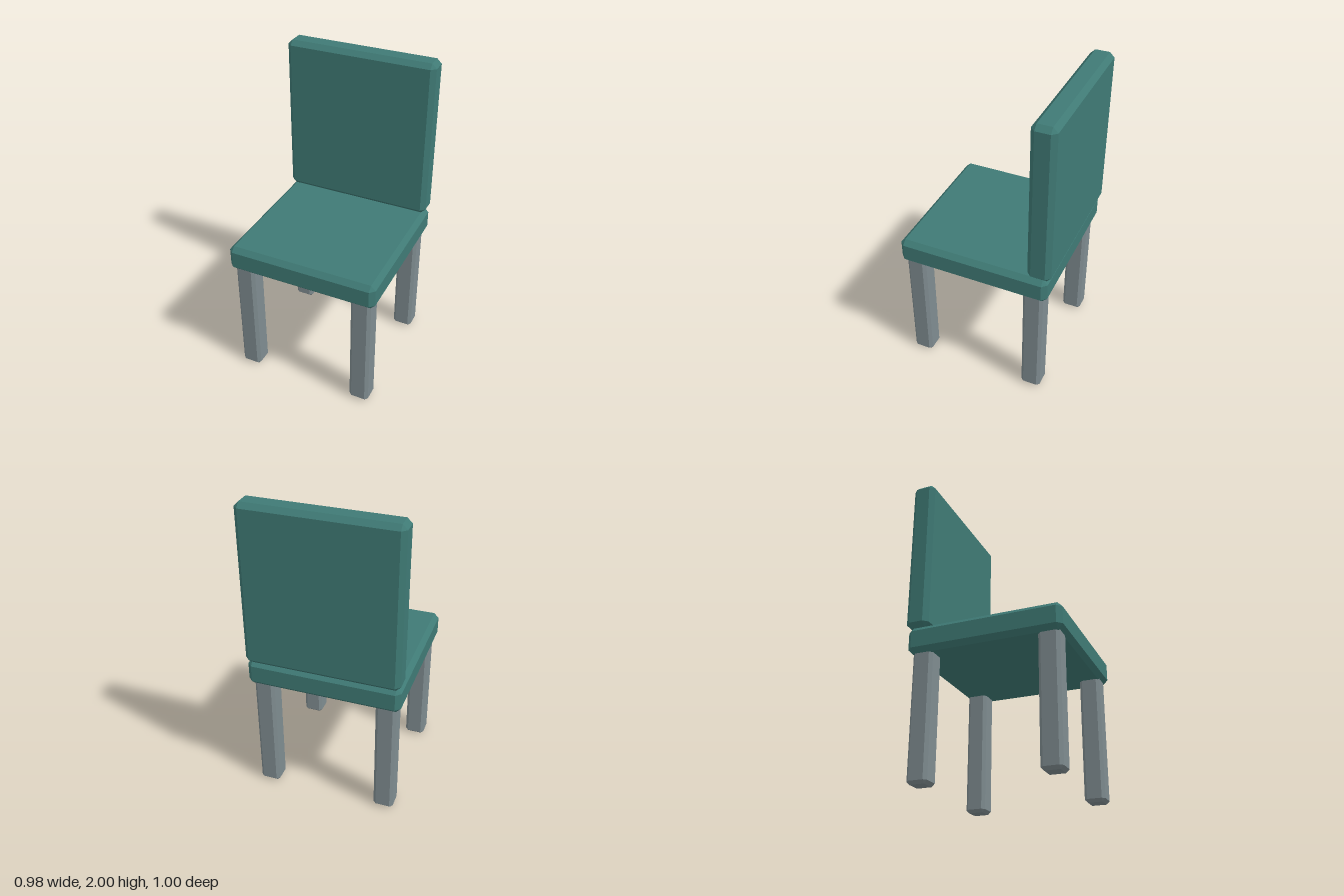
import * as THREE from 'three';
import { ConvexGeometry } from 'three/addons/geometries/ConvexGeometry.js';

// Box with flat chamfered edges and triangular corners, given by its min and max corners
function chamferBox(min, max, c) {
  const half = max.map((v, i) => (v - min[i]) / 2);
  const points = [];
  for (const sx of [-1, 1]) for (const sy of [-1, 1]) for (const sz of [-1, 1]) {
    for (let axis = 0; axis < 3; axis++) {
      // one point per face meeting at this corner
      const p = [sx, sy, sz].map((s, i) => s * (half[i] - (i === axis ? 0 : c)));
      points.push(new THREE.Vector3(...p));
    }
  }
  const geometry = new ConvexGeometry(points);
  geometry.translate(...max.map((v, i) => (v + min[i]) / 2));
  return geometry;
}

export function createModel() {
  const upholstery = new THREE.MeshStandardMaterial({ color: 0x3f7a75 });
  upholstery.name = 'teal upholstery';
  const legGrey = new THREE.MeshStandardMaterial({ color: 0x7f8c90 });
  legGrey.name = 'grey leg';

  const chair = new THREE.Group();
  chair.name = 'chair';
  const add = (name, min, max, chamfer, material) => {
    const mesh = new THREE.Mesh(chamferBox(min, max, chamfer), material);
    mesh.name = name;
    chair.add(mesh);
  };

  // Cushioned seat and upright backrest
  add('seat', [-0.49, 0.79, -0.48], [0.49, 0.96, 0.5], 0.031, upholstery);
  add('backrest', [-0.49, 0.96, -0.5], [0.49, 2, -0.35], 0.03, upholstery);

  // Four square legs, tops sunk into the seat
  const legWidth = 0.13;
  for (const [side, x] of [['Left', 0.395], ['Right', -0.395]]) {
    for (const [end, z] of [['front', 0.41], ['back', -0.385]]) {
      const h = legWidth / 2;
      add(`${end}${side}Leg`, [x - h, 0, z - h], [x + h, 0.83, z + h], 0.019, legGrey);
    }
  }
  return chair;
}
